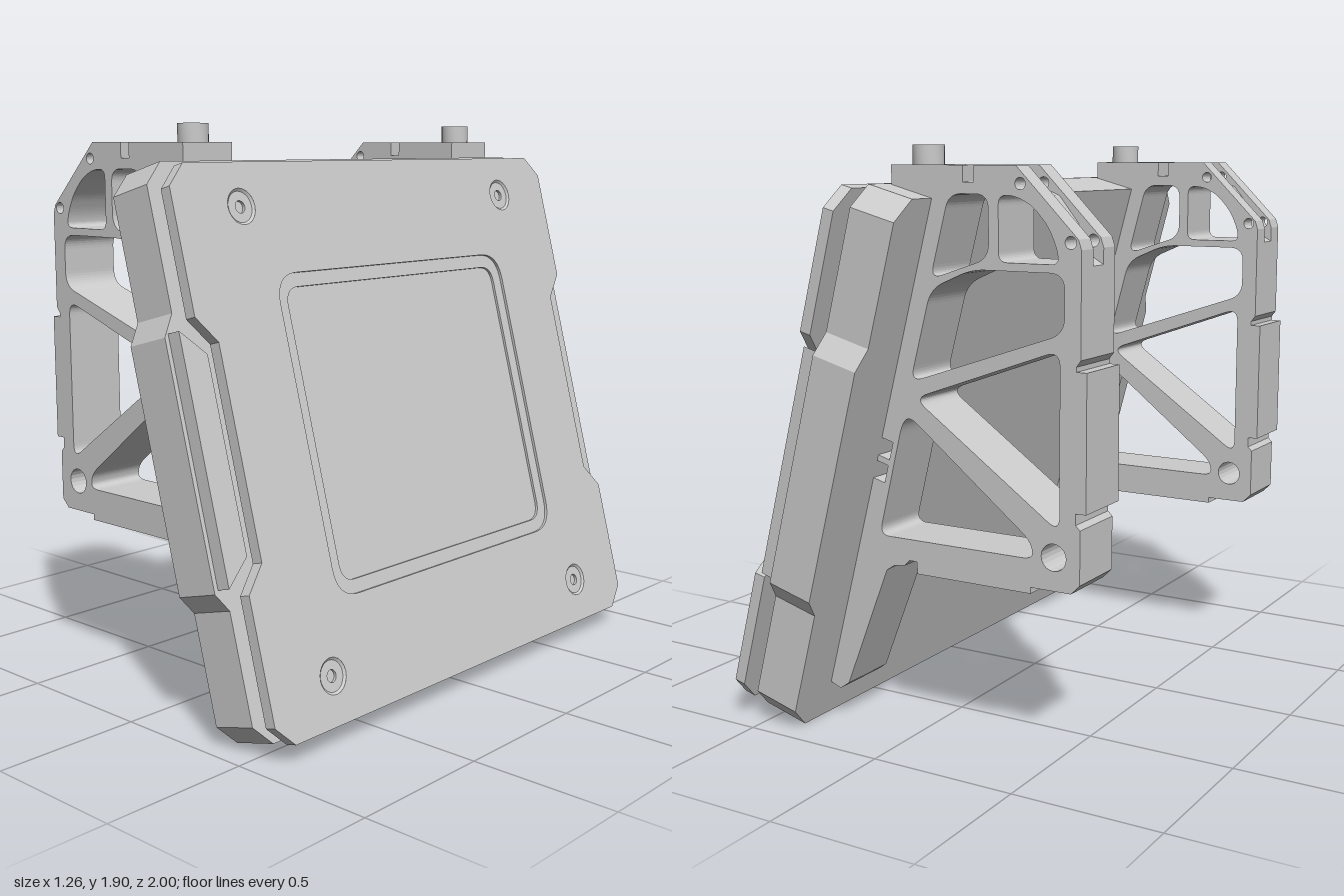
import * as THREE from 'three';
import { toCreasedNormals } from 'three/addons/utils/BufferGeometryUtils.js';

const grey = new THREE.MeshStandardMaterial({ color: 0xcccccc });
const greyDouble = new THREE.MeshStandardMaterial({ color: 0xcccccc, side: THREE.DoubleSide });
const TILT = THREE.MathUtils.degToRad(15);
const MID = 0.795; // centre of the tilted panel along its own height

function add(parent, name, geometry, material = grey) {
  const mesh = new THREE.Mesh(geometry, material);
  mesh.name = name;
  parent.add(mesh);
  return mesh;
}

// Closed polygon with each corner rounded off by r
function rounded(pts, r, Type = THREE.Path) {
  const path = new Type();
  const v = pts.map(([x, y]) => new THREE.Vector2(x, y));
  v.forEach((c, i) => {
    const toward = (o) => c.clone().add(o.clone().sub(c).setLength(Math.min(r, o.distanceTo(c) * 0.45)));
    const a = toward(v[(i + v.length - 1) % v.length]);
    const b = toward(v[(i + 1) % v.length]);
    if (i === 0) path.moveTo(a.x, a.y); else path.lineTo(a.x, a.y);
    path.quadraticCurveTo(c.x, c.y, b.x, b.y);
  });
  path.closePath();
  return path;
}

// Counter-clockwise outline, so that walls of holes face the right way
function polygon(pts) {
  const v = pts.map(([x, y]) => new THREE.Vector2(x, y));
  return new THREE.Shape(THREE.ShapeUtils.isClockWise(v) ? v.reverse() : v);
}

const circle = (x, y, r, Type = THREE.Path) => new Type().absarc(x, y, r, 0, Math.PI * 2);
const mirrored = (half) => polygon([...half, ...half.map(([x, y]) => [-x, y]).reverse()]);
const rect = (w, h) => [[-w, MID - h], [w, MID - h], [w, MID + h], [-w, MID + h]];

function extrude(shape, depth, holes = []) {
  shape.holes.push(...holes);
  return new THREE.ExtrudeGeometry(shape, { depth, bevelEnabled: false, curveSegments: 10 });
}

// Layer of the tilted panel, from x0 to x1 along its normal
function layer(parent, name, shape, x0, x1, holes) {
  return add(parent, name, extrude(shape, x1 - x0, holes).rotateY(Math.PI / 2).translate(x0, 0, 0));
}

function buildPanel() {
  const panel = new THREE.Group();
  panel.name = 'tiltedPanel';
  panel.rotation.z = TILT;

  // Body slab with a bumper bulging from each side
  layer(panel, 'bodySlab', mirrored([
    [0.885, -0.096], [0.955, -0.026], [0.955, 0.33], [1, 0.39], [1, 1.17],
    [0.955, 1.24], [0.955, 1.635], [0.885, 1.705],
  ]), 0.36, 0.525);
  layer(panel, 'bodyCentreRise', rounded(rect(0.43, 0.38), 0.05, THREE.Shape), 0.525, 0.565);
  for (const s of [1, -1]) {
    layer(panel, 'sideBumper', polygon([
      [0.89 * s, 0.48], [0.985 * s, 0.4], [0.985 * s, 1.18], [0.89 * s, 1.1],
    ]), 0.525, 0.575);
  }

  // Cover plate with side notches, a stepped pocket and screw seats
  const outline = () => mirrored([
    [0.885, -0.098], [0.955, -0.028], [0.955, 0.372], [0.88, 0.4545], [0.88, 1.127],
    [0.955, 1.21], [0.955, 1.606], [0.885, 1.676],
  ]);
  const spots = [];
  for (const z of [-0.677, 0.677]) for (const y of [MID - 0.74, MID + 0.74]) spots.push([z, y]);
  const seats = () => spots.map(([z, y]) => circle(z, y, 0.058));
  layer(panel, 'plateBase', outline(), 0.583, 0.604);
  layer(panel, 'plateMiddle', outline(), 0.604, 0.613, [rounded(rect(0.547, 0.475), 0.06), ...seats()]);
  layer(panel, 'plateFace', outline(), 0.613, 0.623, [rounded(rect(0.59, 0.52), 0.1), ...seats()]);

  // Countersunk screws and the standoffs behind them
  const profile = [[0, 0.606], [0.02, 0.606], [0.02, 0.616], [0.05, 0.616], [0.058, 0.623]]
    .map(([r, h]) => new THREE.Vector2(r, h));
  for (const [z, y] of spots) {
    const screw = toCreasedNormals(new THREE.LatheGeometry(profile, 24), 0.5).rotateZ(-Math.PI / 2);
    add(panel, 'plateScrew', screw, greyDouble).position.set(0, y, z);
    const post = new THREE.CylinderGeometry(0.052, 0.052, 0.09, 24).rotateZ(-Math.PI / 2);
    add(panel, 'standoff', post).position.set(0.542, y, z);
  }
  return panel;
}

// Bracket outline; the corner points differ between outer cheeks and the web
function bracketShape(corner) {
  return polygon([
    ...corner, [-0.245, 1.84], [-0.245, 1.79], [-0.205, 1.79], [-0.205, 1.84],
    // clamp over the top of the body
    [0.055, 1.84], [0.055, 1.775], [-0.092, 1.735],
    // contact edge with a slot divided by a small tab
    [0.11, 0.982], [0.066, 0.97], [0.082, 0.912], [0.125, 0.924], [0.13, 0.905], [0.087, 0.893],
    [0.102, 0.835], [0.146, 0.847],
    // lower leg
    [0.341, 0.12], [0.3, 0.105], [0.265, 0.13], [0.1, 0.545], [0.07, 0.565], [0.03, 0.57], [0.01, 0.59],
    // bottom pad
    [-0.02, 0.59], [-0.02, 0.55], [-0.44, 0.55], [-0.44, 0.57], [-0.58, 0.57], [-0.61, 0.6],
    // rear pad
    [-0.61, 0.77], [-0.595, 0.785], [-0.595, 0.82], [-0.63, 0.82], [-0.63, 1.245], [-0.595, 1.245],
    [-0.595, 1.26], [-0.61, 1.28],
  ]);
}

const windows = () => [
  rounded([[-0.535, 1.555], [-0.53, 1.6], [-0.5, 1.665], [-0.445, 1.725], [-0.385, 1.752],
    [-0.33, 1.752], [-0.33, 1.555]], 0.03),
  rounded([[-0.295, 1.755], [-0.155, 1.755], [-0.085, 1.495], [-0.295, 1.565]], 0.045),
  rounded([[-0.555, 1.53], [-0.235, 1.53], [-0.085, 1.465], [-0.005, 1.17], [-0.555, 1.355]], 0.05),
  rounded([[-0.54, 1.305], [-0.02, 1.12], [-0.54, 0.755]], 0.05),
  rounded([[-0.45, 0.66], [-0.44, 0.715], [0, 1.06], [0.03, 1.035], [0.125, 0.66]], 0.04),
  circle(-0.52, 0.675, 0.043),
];

function buildBracket() {
  const bracket = new THREE.Group();
  bracket.name = 'bracket';

  // Outer cheeks with a straight diagonal corner
  for (const z of [-0.105, 0.0325]) {
    const holes = [...windows(), circle(-0.575, 1.62, 0.019), circle(-0.405, 1.787, 0.018)];
    const shape = bracketShape([[-0.61, 1.6], [-0.6, 1.63], [-0.39, 1.84]]);
    add(bracket, 'bracketCheek', extrude(shape, 0.0725, holes).translate(0, 0, z));
  }
  // Middle web, cut back to a curve at the corner
  const web = bracketShape([[-0.61, 1.55], [-0.56, 1.58], [-0.525, 1.67], [-0.46, 1.75],
    [-0.385, 1.78], [-0.3, 1.78], [-0.3, 1.84]]);
  add(bracket, 'bracketWeb', extrude(web, 0.065, windows()).translate(0, 0, -0.0325));

  // Clamp bolt with a hexagonal socket
  const hex = new THREE.Path(Array.from({ length: 6 }, (_, i) =>
    new THREE.Vector2(0.027 * Math.cos(i * Math.PI / 3), 0.027 * Math.sin(i * Math.PI / 3))));
  const head = toCreasedNormals(extrude(circle(0, 0, 0.05, THREE.Shape), 0.06, [hex]), 0.7);
  add(bracket, 'clampBolt', head.rotateX(-Math.PI / 2)).position.set(-0.013, 1.84, 0);
  return bracket;
}

export function createModel() {
  const model = new THREE.Group();
  model.name = 'bracketedPanel';
  model.add(buildPanel());
  for (const z of [-0.677, 0.677]) {
    const bracket = buildBracket();
    bracket.position.z = z;
    model.add(bracket);
  }
  return model;
}
